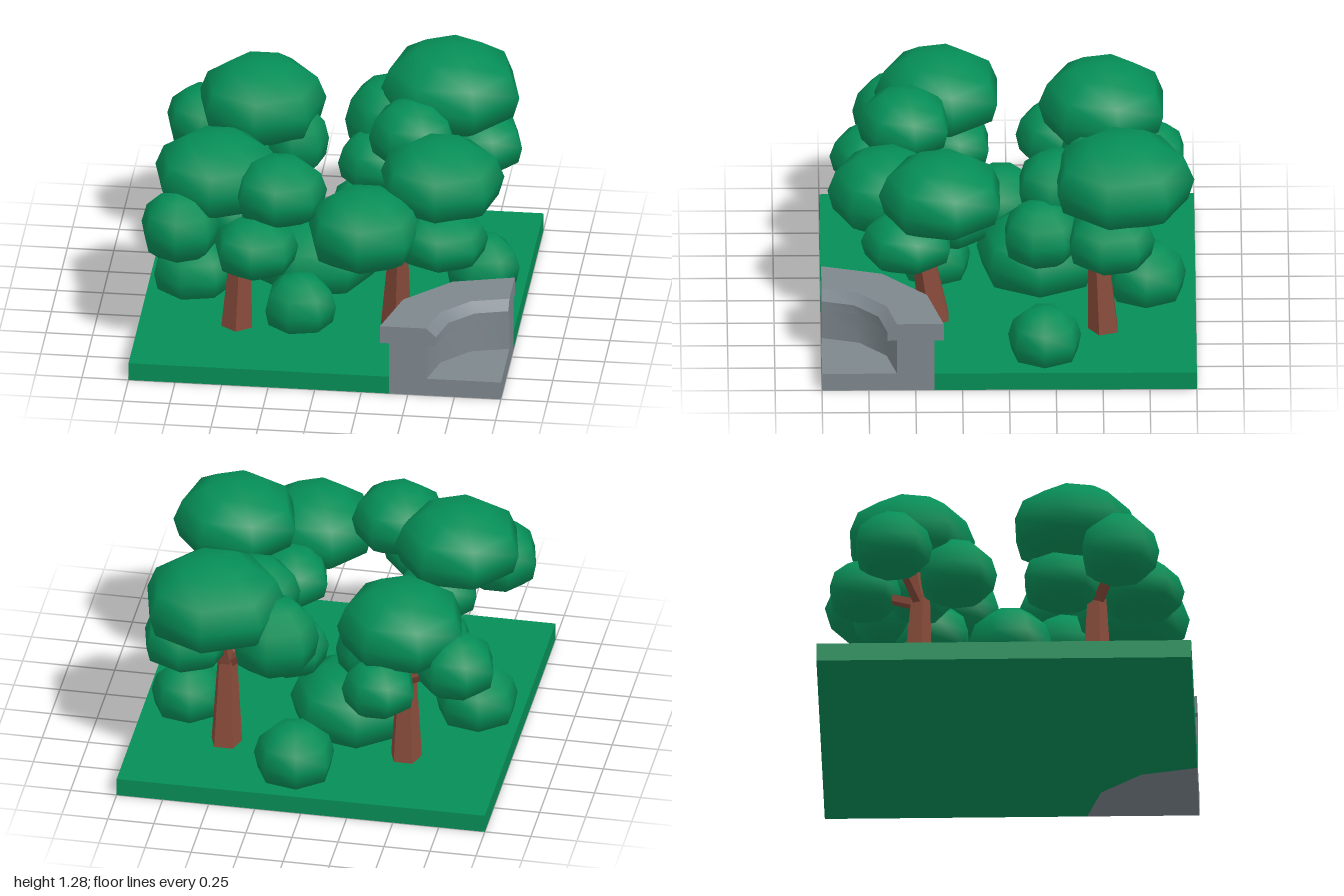
import * as THREE from 'three';
import { toCreasedNormals } from 'three/addons/utils/BufferGeometryUtils.js';

const V = (x, y, z) => new THREE.Vector3(x, y, z);

export function createModel() {
  const green = new THREE.MeshStandardMaterial({ color: 0x058e57 });
  green.name = 'leafGreen';
  const brown = new THREE.MeshStandardMaterial({ color: 0x884b3a });
  brown.name = 'barkBrown';
  const grey = new THREE.MeshStandardMaterial({ color: 0x7d878d });
  grey.name = 'stoneGrey';

  const model = new THREE.Group();
  model.name = 'parkCorner';

  function add(parent, geometry, material, name) {
    const mesh = new THREE.Mesh(geometry, material);
    mesh.name = name;
    parent.add(mesh);
    return mesh;
  }

  // Rounded seven-sided clump: domed above, fuller and flatter below
  function clump(parent, name, [x, z, r, bottom, top], turn) {
    const geo = new THREE.SphereGeometry(1, 7, 6);
    const p = geo.attributes.position, n = geo.attributes.normal;
    const middle = bottom + 0.44 * (top - bottom);
    for (let i = 0; i < p.count; i++) {
      const px = p.getX(i), py = p.getY(i), pz = p.getZ(i);
      const below = py < -0.01;
      const h = below ? middle - bottom : top - middle;
      const ringRadius = Math.hypot(px, pz);
      const wide = below && ringRadius > 0.01 ? ringRadius ** -0.35 : 1;
      const tall = below ? -(Math.abs(py) ** 0.75) : py;
      const v = V(px / r, py / h, pz / r).normalize();
      n.setXYZ(i, v.x, v.y, v.z);
      p.setXYZ(i, px * wide * r, tall * h, pz * wide * r);
    }
    const mesh = add(parent, geo, green, name);
    mesh.position.set(x, middle, z);
    mesh.rotation.y = turn;
  }

  // Tapered five-sided limb between two points
  function limb(parent, name, a, b, r0, r1) {
    const d = b.clone().sub(a);
    const geo = new THREE.CylinderGeometry(r1, r0, d.length(), 5).toNonIndexed();
    geo.computeVertexNormals();
    const mesh = add(parent, geo, brown, name);
    mesh.position.copy(a).addScaledVector(d, 0.5);
    mesh.quaternion.setFromUnitVectors(V(0, 1, 0), d.normalize());
  }

  // Grass slab with the stone corner cut out
  const grass = new THREE.Shape();
  grass.moveTo(-1, 1);
  grass.lineTo(1, 1);
  grass.lineTo(1, -0.4);
  for (let i = 1; i <= 3; i++) {
    const a = (i * Math.PI) / 6;
    grass.lineTo(1 - 0.6 * Math.sin(a), -1 + 0.6 * Math.cos(a));
  }
  grass.lineTo(-1, -1);
  const slab = new THREE.ExtrudeGeometry(grass, { depth: 0.1, bevelEnabled: false });
  slab.rotateX(-Math.PI / 2);
  add(model, slab, green, 'grassSlab');

  // Quarter-round stone basin with a capped, chamfered rim
  const basin = new THREE.Group();
  basin.name = 'stoneBasin';
  basin.position.set(1, 0, 1);
  model.add(basin);
  const profile = [
    [0, 0], [0.6, 0], [0.6, 0.3], [0.65, 0.3], [0.65, 0.4], [0.4, 0.4],
    [0.35, 0.35], [0.35, 0.3], [0.4, 0.3], [0.4, 0.1], [0, 0.1],
  ].map(([r, y]) => new THREE.Vector2(r, y));
  const ring = new THREE.LatheGeometry(profile, 3, Math.PI, Math.PI / 2);
  add(basin, toCreasedNormals(ring, 0.6), grey, 'basinWall');
  const mirrored = profile.map((p) => new THREE.Vector2(-p.x, p.y));
  add(basin, new THREE.ShapeGeometry(new THREE.Shape(mirrored)), grey, 'basinFrontEnd');
  const side = new THREE.ShapeGeometry(new THREE.Shape(profile));
  add(basin, side.rotateY(Math.PI / 2), grey, 'basinSideEnd');

  // Trees: trunk base, trunk top, and clumps as [x, z, radius, bottom, top]
  const q = Math.PI / 2;
  const trees = [
    { name: 'frontLeftOfViewTree', base: [-0.475, 0.48], top: [-0.455, 0.48], turn: q, crown: [
      [-0.6, 0.365, 0.345, 0.76, 1.17], [-0.24, 0.55, 0.255, 0.79, 1.14],
      [-0.77, 0.61, 0.215, 0.57, 0.94], [-0.35, 0.72, 0.23, 0.55, 0.86],
      [-0.5, 0.3, 0.22, 0.54, 0.86]] },
    { name: 'frontRightOfViewTree', base: [0.37, 0.39], top: [0.39, 0.47], turn: q, crown: [
      [0.605, 0.355, 0.34, 0.79, 1.19], [0.225, 0.65, 0.315, 0.61, 1.02],
      [0.63, 0.54, 0.25, 0.57, 0.87], [0.3, 0.3, 0.21, 0.53, 0.84]] },
    { name: 'backRightOfViewTree', base: [0.5, -0.51], top: [0.5, -0.48], turn: -q, crown: [
      [0.55, -0.605, 0.385, 0.83, 1.28], [0.22, -0.6, 0.24, 0.65, 1.07],
      [0.38, -0.27, 0.235, 0.75, 1.1], [0.71, -0.54, 0.24, 0.6, 0.93],
      [0.6, -0.17, 0.21, 0.57, 0.92], [0.17, -0.4, 0.205, 0.53, 0.85]] },
    { name: 'backLeftOfViewTree', base: [-0.47, -0.48], top: [-0.47, -0.46], turn: q, crown: [
      [-0.46, -0.515, 0.35, 0.75, 1.18], [-0.77, -0.6, 0.215, 0.62, 0.96],
      [-0.38, -0.76, 0.2, 0.55, 0.86], [-0.58, -0.26, 0.215, 0.54, 0.88],
      [-0.27, -0.46, 0.18, 0.58, 0.95]] },
  ];
  for (const t of trees) {
    const tree = new THREE.Group();
    tree.name = t.name;
    model.add(tree);
    const fork = V(t.top[0], 0.6, t.top[1]);
    limb(tree, 'trunk', V(t.base[0], 0.09, t.base[1]), fork, 0.088, 0.055);
    t.crown.forEach((c, i) => {
      const end = V(c[0], (c[3] + c[4]) / 2 - 0.02, c[1]);
      if (i < 3) limb(tree, 'branch', fork.clone().setY(0.57), end, i ? 0.035 : 0.05, 0.025);
      clump(tree, 'foliage', c, t.turn);
    });
  }

  // Bushes on the grass
  const bushes = [
    [-0.13, -0.17, 0.345, 0.04, 0.455], [-0.15, 0.39, 0.195, 0.04, 0.37],
    [-0.76, 0.03, 0.225, 0.04, 0.39], [0.085, -0.735, 0.22, 0.04, 0.39],
    [0.765, -0.19, 0.2, 0.04, 0.37],
  ];
  for (const b of bushes) clump(model, 'bush', b, 1.35);

  return model;
}
